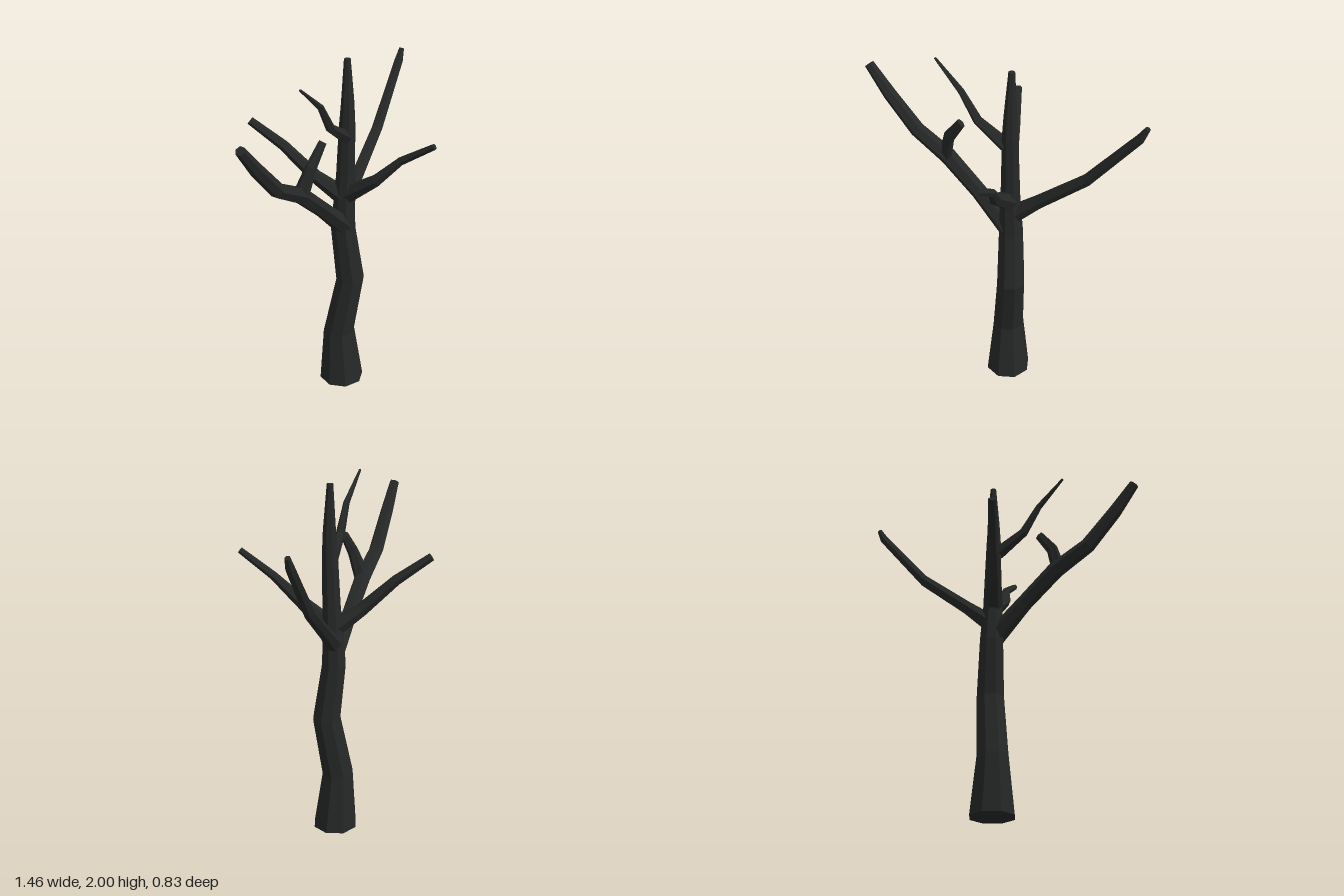
import * as THREE from 'three';

const bark = new THREE.MeshStandardMaterial({ color: 0x262827, flatShading: true, roughness: 1 });

// Faceted limb through points [x, y, z, radius]; level keeps the rings horizontal,
// flat squeezes the rings sideways.
function limb(name, points, sides, { level = false, flat = 1, phase = 0 } = {}) {
  const centres = points.map(([x, y, z]) => new THREE.Vector3(x, y, z));
  const up = new THREE.Vector3(0, 1, 0);
  const last = points.length - 1;
  const pos = [];
  const index = [];
  centres.forEach((c, i) => {
    const t = level ? up.clone() : new THREE.Vector3();
    if (!level) {
      if (i > 0) t.add(c.clone().sub(centres[i - 1]).normalize());
      if (i < last) t.add(centres[i + 1].clone().sub(c).normalize());
      t.normalize();
    }
    const u = level ? new THREE.Vector3(1, 0, 0) : up.clone().cross(t).normalize();
    const v = t.clone().cross(u);
    for (let j = 0; j < sides; j++) {
      const a = phase + (j / sides) * Math.PI * 2;
      const p = c.clone()
        .addScaledVector(u, Math.cos(a) * points[i][3] * flat)
        .addScaledVector(v, Math.sin(a) * points[i][3]);
      pos.push(p.x, p.y, p.z);
    }
  });
  for (let i = 0; i < last; i++) {
    for (let j = 0; j < sides; j++) {
      const a = i * sides + j;
      const b = i * sides + ((j + 1) % sides);
      index.push(a, b, b + sides, a, b + sides, a + sides);
    }
  }
  // end caps
  const top = last * sides;
  for (let j = 1; j < sides - 1; j++) {
    index.push(0, j + 1, j, top, top + j, top + j + 1);
  }
  const geo = new THREE.BufferGeometry();
  geo.setAttribute('position', new THREE.Float32BufferAttribute(pos, 3));
  geo.setIndex(index);
  geo.computeVertexNormals();
  const mesh = new THREE.Mesh(geo, bark);
  mesh.name = name;
  return mesh;
}

export function createModel() {
  const tree = new THREE.Group();
  tree.name = 'bareTree';

  // crooked trunk tapering to the crown
  tree.add(limb('trunk', [
    [0.09, 0, -0.042, 0.127], [0.078, 0.33, -0.052, 0.09], [0.132, 0.68, -0.02, 0.08],
    [0.1, 1.0, -0.045, 0.069], [0.1, 1.2, -0.037, 0.058], [0.105, 1.34, -0.033, 0.052],
    [0.108, 1.62, -0.025, 0.045], [0.11, 1.76, -0.024, 0.036], [0.11, 2.0, -0.03, 0.018],
  ], 8, { level: true, phase: Math.PI / 8 }));

  // main boughs
  tree.add(limb('rightBough', [
    [0.09, 1.03, -0.03, 0.056], [-0.08, 1.2, 0.03, 0.045], [-0.26, 1.37, 0.1, 0.047],
    [-0.44, 1.48, 0.17, 0.042], [-0.59, 1.66, 0.235, 0.037], [-0.7, 1.81, 0.28, 0.027],
  ], 6));
  tree.add(limb('leftBough', [
    [0.1, 1.11, -0.045, 0.052], [0.23, 1.235, -0.12, 0.037], [0.46, 1.445, -0.245, 0.032],
    [0.69, 1.76, -0.37, 0.026], [0.72, 1.825, -0.385, 0.015],
  ], 6));
  tree.add(limb('backBough', [
    [0.09, 1.21, -0.04, 0.052], [-0.02, 1.315, -0.14, 0.037],
    [-0.14, 1.48, -0.27, 0.029], [-0.27, 1.61, -0.4, 0.022],
  ], 6));
  tree.add(limb('frontBough', [
    [0.11, 1.22, -0.02, 0.052], [0.185, 1.35, 0.14, 0.034],
    [0.275, 1.48, 0.235, 0.023], [0.365, 1.605, 0.4, 0.017],
  ], 6));

  // thinner twigs
  tree.add(limb('upperTwig', [
    [0.09, 1.57, -0.01, 0.038], [-0.05, 1.68, 0.06, 0.026],
    [-0.135, 1.83, 0.1, 0.018], [-0.285, 1.975, 0.148, 0.007],
  ], 5));
  tree.add(limb('forkTwig', [
    [-0.275, 1.36, 0.11, 0.05], [-0.212, 1.53, 0.125, 0.036], [-0.13, 1.645, 0.108, 0.027],
  ], 6, { flat: 0.55 }));

  return tree;
}
